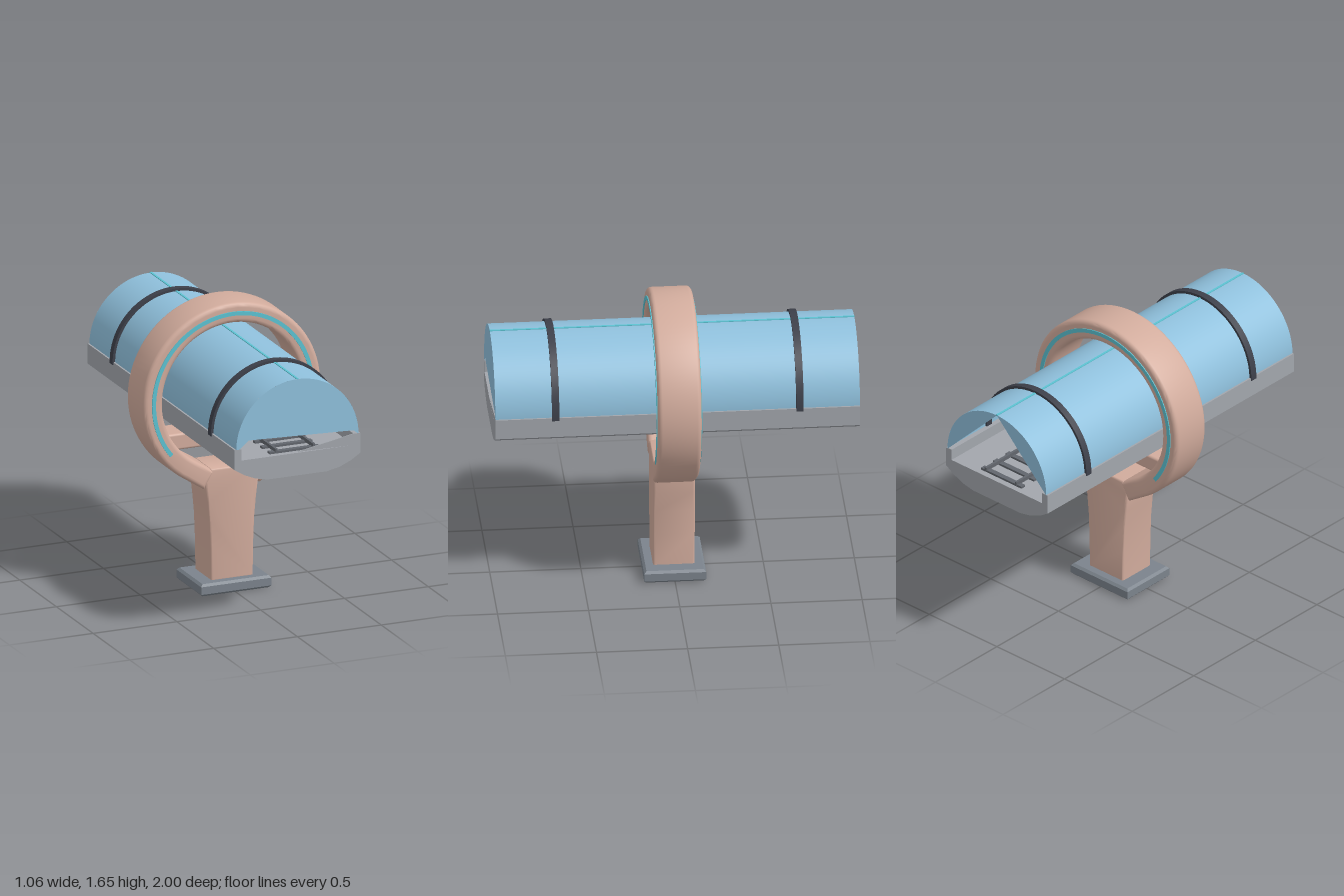
import * as THREE from 'three';
import { toCreasedNormals } from 'three/addons/utils/BufferGeometryUtils.js';
import { RoundedBoxGeometry } from 'three/addons/geometries/RoundedBoxGeometry.js';

const CY = 1.12; // height of the ring and canopy axis
const rad = THREE.MathUtils.degToRad;

const makeMaterial = (name, color, side = THREE.FrontSide) => {
  const m = new THREE.MeshStandardMaterial({ color, side });
  m.name = name;
  return m;
};

// Points on an arc around the main axis, angles in degrees
const arc = (r, from, to, n = 48) =>
  Array.from({ length: n + 1 }, (_, i) => {
    const a = rad(from + ((to - from) * i) / n);
    return [r * Math.cos(a), CY + r * Math.sin(a)];
  });

const shapeOf = (pts) => new THREE.Shape(pts.map(([x, y]) => new THREE.Vector2(x, y)));

// Extrusion centred on z = 0, keeping the outline; bevel rounds the edges inward
const extrude = (pts, depth, bevel = 0) => {
  const g = new THREE.ExtrudeGeometry(shapeOf(pts), {
    depth: depth - 2 * bevel, bevelEnabled: bevel > 0, bevelSize: bevel,
    bevelThickness: bevel, bevelOffset: -bevel, bevelSegments: 4,
  });
  g.translate(0, 0, -depth / 2 + bevel);
  return toCreasedNormals(g, rad(35));
};

export function createModel() {
  const group = new THREE.Group();
  group.name = 'elevatedTubeway';
  const clay = makeMaterial('clay', 0xd2ac9d);
  const glass = makeMaterial('blueGlass', 0x8fc0dc, THREE.DoubleSide);
  const concrete = makeMaterial('concrete', 0xa2a6ac);
  const slate = makeMaterial('slate', 0x7b838c);
  const dark = makeMaterial('darkMetal', 0x3d404a);
  const steel = makeMaterial('steel', 0x62666d);
  const teal = makeMaterial('tealLight', 0x5cc3d2);

  const add = (name, geometry, material, x = 0, y = 0, z = 0) => {
    const m = new THREE.Mesh(geometry, material);
    m.name = name;
    m.position.set(x, y, z);
    group.add(m);
    return m;
  };

  // Footing: slab with chamfered edges
  const foot = shapeOf([[-0.21, -0.17], [0.21, -0.17], [0.21, 0.17], [-0.21, 0.17]]);
  const footGeo = new THREE.ExtrudeGeometry(foot, {
    depth: 0.044, bevelSize: 0.013, bevelThickness: 0.013, bevelOffset: -0.013, bevelSegments: 1,
  });
  footGeo.rotateX(-Math.PI / 2);
  add('footing', footGeo, slate, 0, 0.013, 0);

  // Column, flaring toward the top
  const side = [[0.125, 0.06], [0.128, 0.25], [0.134, 0.4], [0.145, 0.52], [0.16, 0.64], [0.125, 0.71]];
  const mirrored = side.map(([x, y]) => [-x, y]).reverse();
  add('column', extrude([...side, ...mirrored], 0.23, 0.014), clay);

  // Ring: a round arch whose two legs run straight into the column
  const ring = [
    [0.165, 0.595], ...arc(0.53, -58, 238, 80), [-0.165, 0.595],
    [-0.105, 0.695], ...arc(0.415, 238, -58, 80), [0.105, 0.695],
  ];
  add('ring', extrude(ring, 0.24, 0.025), clay);

  // Light strips on both faces of the ring
  const strip = [...arc(0.483, -39, 219, 72), ...arc(0.46, 219, -39, 72)];
  for (const s of [1, -1]) {
    add(s > 0 ? 'frontLightStrip' : 'backLightStrip', extrude(strip, 0.008), teal, 0, 0, s * 0.121);
  }

  // Beam carrying the deck
  add('crossBeam', new RoundedBoxGeometry(0.76, 0.095, 0.17, 3, 0.014), clay, 0, 0.8825, 0);

  // Trough deck
  const half = [[0.175, 0.93], [0.25, 0.945], [0.32, 0.975], [0.375, 1.01], [0.375, 1.125], [0.335, 1.125], [0.335, 1.06]];
  const otherHalf = half.map(([x, y]) => [-x, y]).reverse();
  add('deck', extrude([...half, ...otherHalf], 2), concrete);
  const wedge = extrude([[0, 1.065], [0.335, 1.06], [0.335, 1.125]], 0.006);
  add('deckEndWedge', wedge, concrete, 0, 0, 0.997);

  // Track: two rails on sleepers
  for (const s of [1, -1]) {
    add(s > 0 ? 'leftRail' : 'rightRail', new THREE.BoxGeometry(0.014, 0.022, 1.94), steel, s * 0.112, 1.079, 0);
  }
  const sleeperGeo = new THREE.BoxGeometry(0.3, 0.014, 0.03);
  for (let i = 0; i < 20; i++) add('sleeper', sleeperGeo, steel, 0, 1.065, -0.95 + i * 0.1);

  // Half-round canopy
  const R = 0.365;
  const canopy = new THREE.CylinderGeometry(R, R, 2, 64, 1, true, Math.PI / 2, Math.PI);
  canopy.rotateX(Math.PI / 2);
  add('canopy', canopy, glass, 0, CY, 0);

  // Front pane closes the arch down to a slanted lower edge
  const pane = [...arc(R, 0, 180), [-0.34, 1.128], [-0.29, 1.17], [0.335, 1.145]];
  add('frontPane', new THREE.ShapeGeometry(shapeOf(pane)), glass, 0, 0, 1);

  // Back panes fill the arch outside a gable-shaped opening
  for (const s of [0, 90]) {
    const g = new THREE.ShapeGeometry(shapeOf(arc(R, s, s + 90, 24)));
    add(s ? 'backPaneRight' : 'backPaneLeft', g, glass, 0, 0, -1);
  }

  // Hoops around the canopy and the seam along its crown
  const hoop = [[0.38, 1.11], ...arc(0.38, 0, 180), [-0.38, 1.11], [-0.355, 1.11], ...arc(0.355, 180, 0), [0.355, 1.11]];
  const hoopGeo = extrude(hoop, 0.04);
  for (const z of [0.67, -0.67]) add(z > 0 ? 'frontHoop' : 'backHoop', hoopGeo, dark, 0, 0, z);
  add('crownSeam', new THREE.BoxGeometry(0.012, 0.008, 2), teal, 0, 1.485, 0);

  return group;
}
